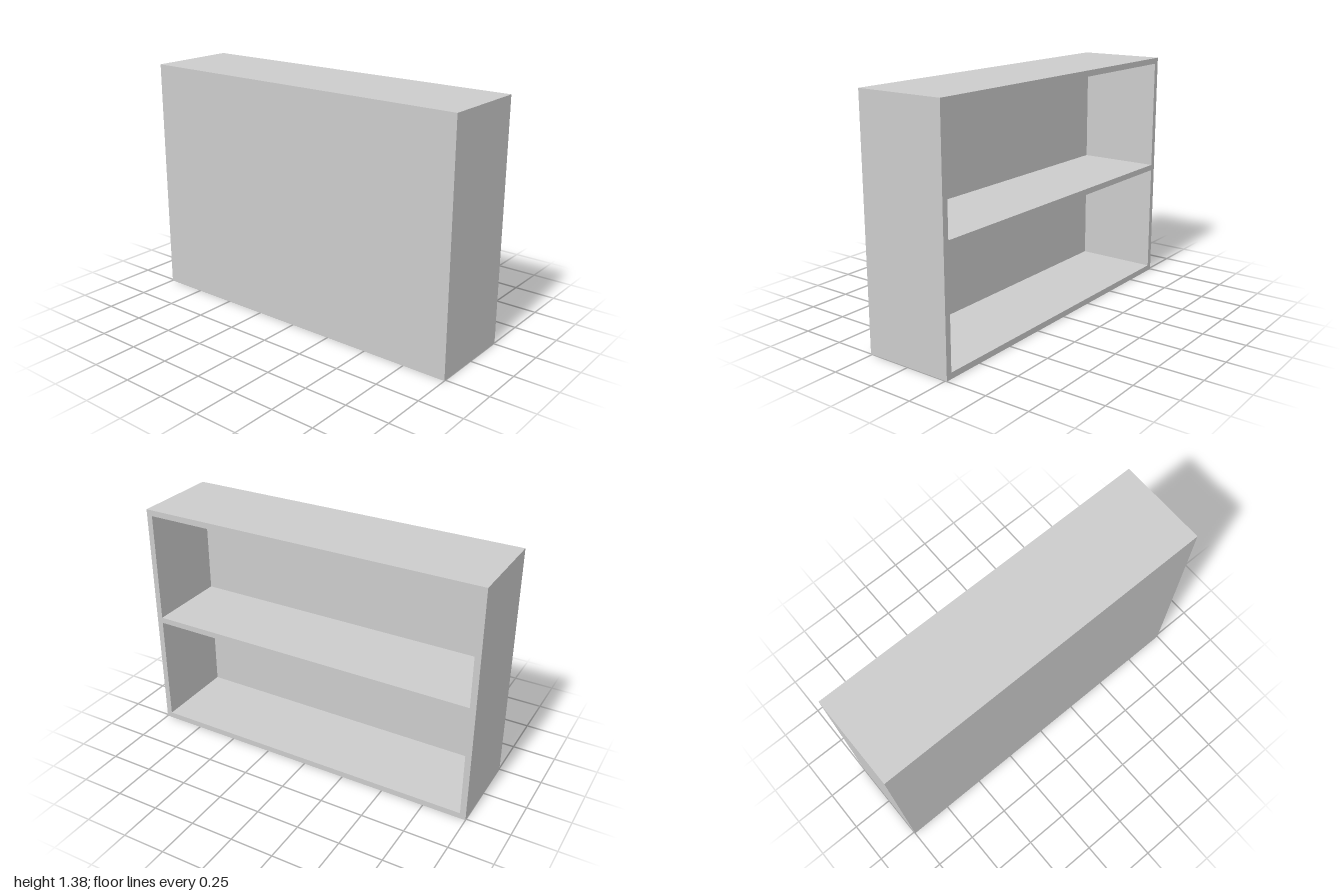
import * as THREE from 'three';

const W = 2, H = 1.376, D = 0.52, T = 0.034;
const material = new THREE.MeshStandardMaterial({ color: 0xcccccc });

// Adds a rectangle's outline to a shape or path
function rect(path, x0, y0, x1, y1) {
  path.moveTo(x0, y0);
  path.lineTo(x1, y0);
  path.lineTo(x1, y1);
  path.lineTo(x0, y1);
  path.closePath();
  return path;
}

export function createModel() {
  const group = new THREE.Group();
  group.name = 'shelfUnit';

  // Carcass: sides, top, bottom and middle shelf, open to the rear
  const outline = rect(new THREE.Shape(), -W / 2, 0, W / 2, H);
  const bay = (H - 3 * T) / 2;
  for (let i = 0; i < 2; i++) {
    const y = T + i * (bay + T);
    outline.holes.push(rect(new THREE.Path(), -W / 2 + T, y, W / 2 - T, y + bay));
  }
  const carcass = new THREE.Mesh(
    new THREE.ExtrudeGeometry(outline, { depth: D - T, bevelEnabled: false }), material);
  carcass.name = 'carcass';
  carcass.position.z = -D / 2;
  group.add(carcass);

  // Plain panel closing the front
  const panel = new THREE.Mesh(new THREE.BoxGeometry(W, H, T), material);
  panel.name = 'frontPanel';
  panel.position.set(0, H / 2, D / 2 - T / 2);
  group.add(panel);

  return group;
}
